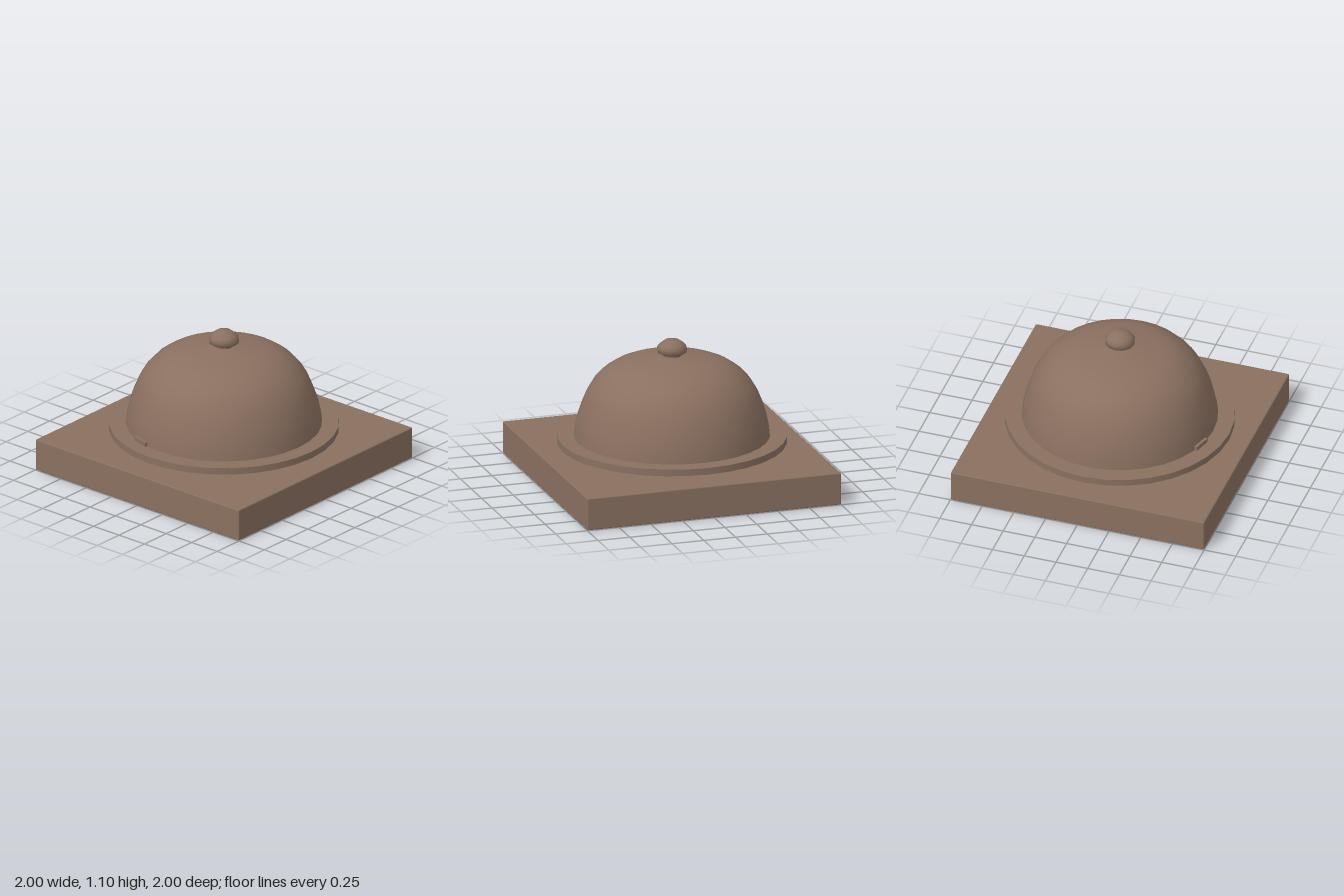
import * as THREE from 'three';
import { RoundedBoxGeometry } from 'three/addons/geometries/RoundedBoxGeometry.js';

export function createModel() {
  const group = new THREE.Group();
  const bronze = new THREE.MeshStandardMaterial({ color: 0x8a7060 });
  bronze.name = 'dull bronze';

  const add = (name, geometry, x = 0, y = 0, z = 0) => {
    const mesh = new THREE.Mesh(geometry, bronze);
    mesh.name = name;
    mesh.position.set(x, y, z);
    group.add(mesh);
    return mesh;
  };
  // revolve a [radius, height] profile, listed from bottom to top
  const lathe = (profile, sides) =>
    new THREE.LatheGeometry(profile.map(([r, y]) => new THREE.Vector2(r, y)), sides);

  // square base with slightly softened edges
  add('base', new RoundedBoxGeometry(2, 0.25, 2, 1, 0.01), 0, 0.125, 0);

  // short post holding the bell above the base
  add('post', new THREE.CylinderGeometry(0.09, 0.09, 0.06, 24), 0, 0.275, 0);

  // flat rim
  add('rim', new THREE.CylinderGeometry(0.86, 0.86, 0.052, 32), 0, 0.322, 0);

  // bell dome
  add('dome', lathe([
    [0.735, 0.34], [0.725, 0.42], [0.705, 0.51], [0.675, 0.6], [0.642, 0.68],
    [0.597, 0.756], [0.53, 0.83], [0.45, 0.885], [0.38, 0.915], [0.3, 0.934],
    [0.19, 0.952], [0.07, 0.97], [0, 0.972],
  ], 32));

  // small tab at the foot of the dome
  const tab = add('tab', new THREE.BoxGeometry(0.14, 0.04, 0.05), -0.205, 0.36, 0.695);
  tab.rotation.y = -0.28;

  // push button: neck and faceted knob
  add('buttonNeck', new THREE.CylinderGeometry(0.075, 0.07, 0.05, 12), 0, 0.98, 0);
  add('button', lathe([
    [0, 0.985], [0.085, 0.985], [0.112, 1.0], [0.113, 1.035], [0.095, 1.06],
    [0.055, 1.09], [0, 1.098],
  ], 12));

  return group;
}
